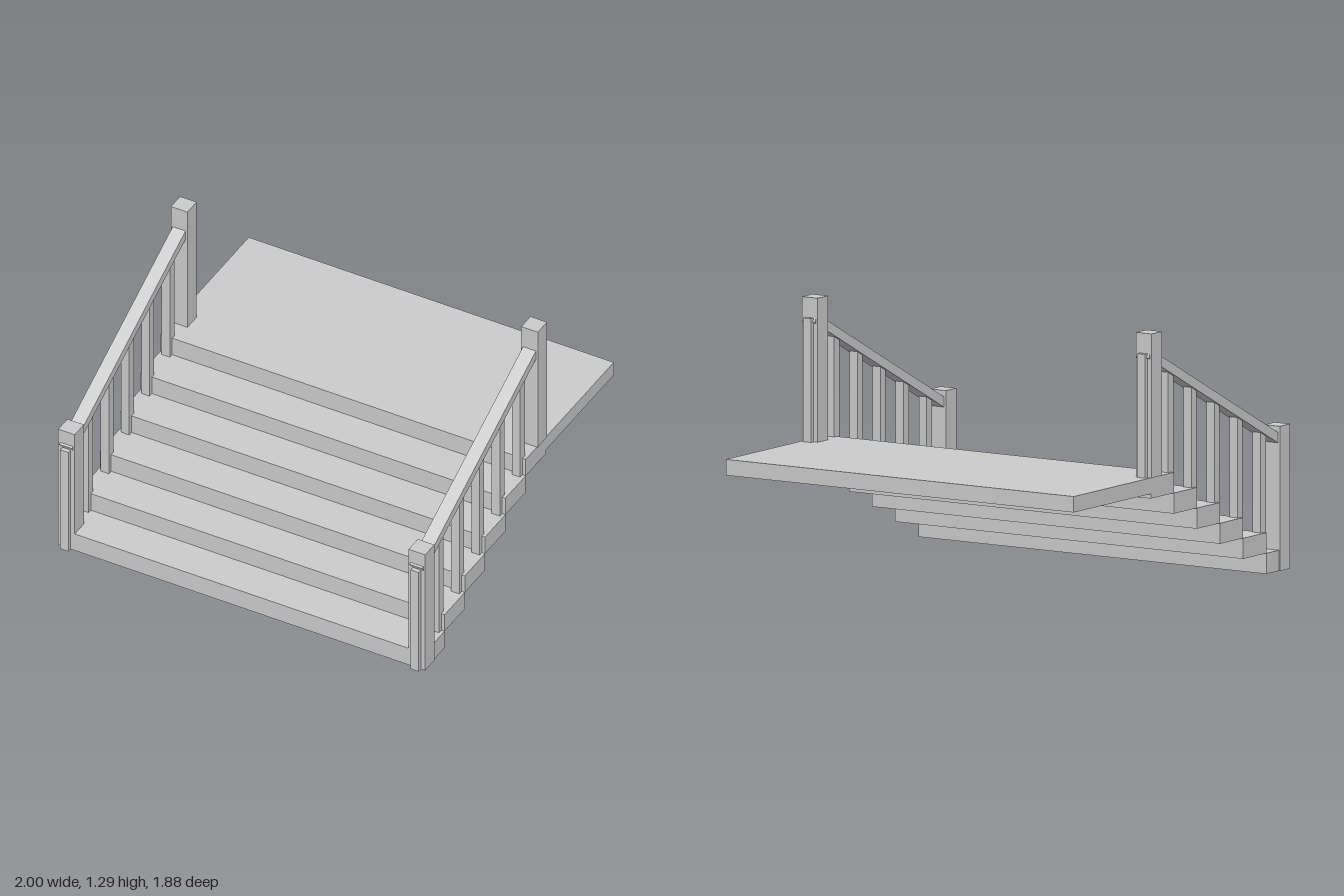
import * as THREE from 'three';

const STEPS = 6;
const RISE = 0.0996;
const RUN = 0.1985;
const FRONT = 0.916; // z of the lowest riser
const BACK = -0.937; // z of the landing's rear edge
const WIDTH = 1.99;
const RAIL_X = 0.955;

export function createModel() {
  const model = new THREE.Group();
  model.name = 'staircase';
  const material = new THREE.MeshStandardMaterial({ color: 0xcccccc });

  // Box placed by the centre of its base
  const addBox = (parent, name, [w, h, d], [x, y, z]) => {
    const mesh = new THREE.Mesh(new THREE.BoxGeometry(w, h, d), material);
    mesh.name = name;
    mesh.position.set(x, y + h / 2, z);
    parent.add(mesh);
    return mesh;
  };

  // Steps
  for (let i = 0; i < STEPS; i++) {
    addBox(model, `step${i + 1}`, [WIDTH, RISE, RUN], [0, i * RISE, FRONT - (i + 0.5) * RUN]);
  }

  // Landing, flush with the top step
  const top = STEPS * RISE;
  const landingFront = FRONT - STEPS * RUN;
  addBox(model, 'landing', [WIDTH, 0.077, landingFront - BACK],
    [0, top - 0.077, (landingFront + BACK) / 2]);

  // Railings on both sides
  for (const [side, sign] of [['left', 1], ['right', -1]]) {
    const railing = new THREE.Group();
    railing.name = `${side}Railing`;
    const x = sign * RAIL_X;

    // Newel posts
    addBox(railing, 'lowerPost', [0.09, 0.698, 0.09], [x, 0, FRONT - 0.045]);
    addBox(railing, 'upperPost', [0.09, 0.695, 0.09], [x, top, landingFront + 0.045]);

    // Balusters, one at each riser
    for (let i = 0; i <= STEPS; i++) {
      addBox(railing, `baluster${i + 1}`, [0.045, top, 0.045], [x, i * RISE, FRONT - i * RUN]);
    }

    // Sloping handrail through the baluster tops
    const rise = STEPS * RISE, run = STEPS * RUN;
    const rail = addBox(railing, 'handrail', [0.07, 0.045, Math.hypot(rise, run)], [0, 0, 0]);
    rail.position.set(x, top + rise / 2, FRONT - run / 2);
    rail.rotation.x = Math.atan2(rise, run);

    model.add(railing);
  }

  return model;
}
